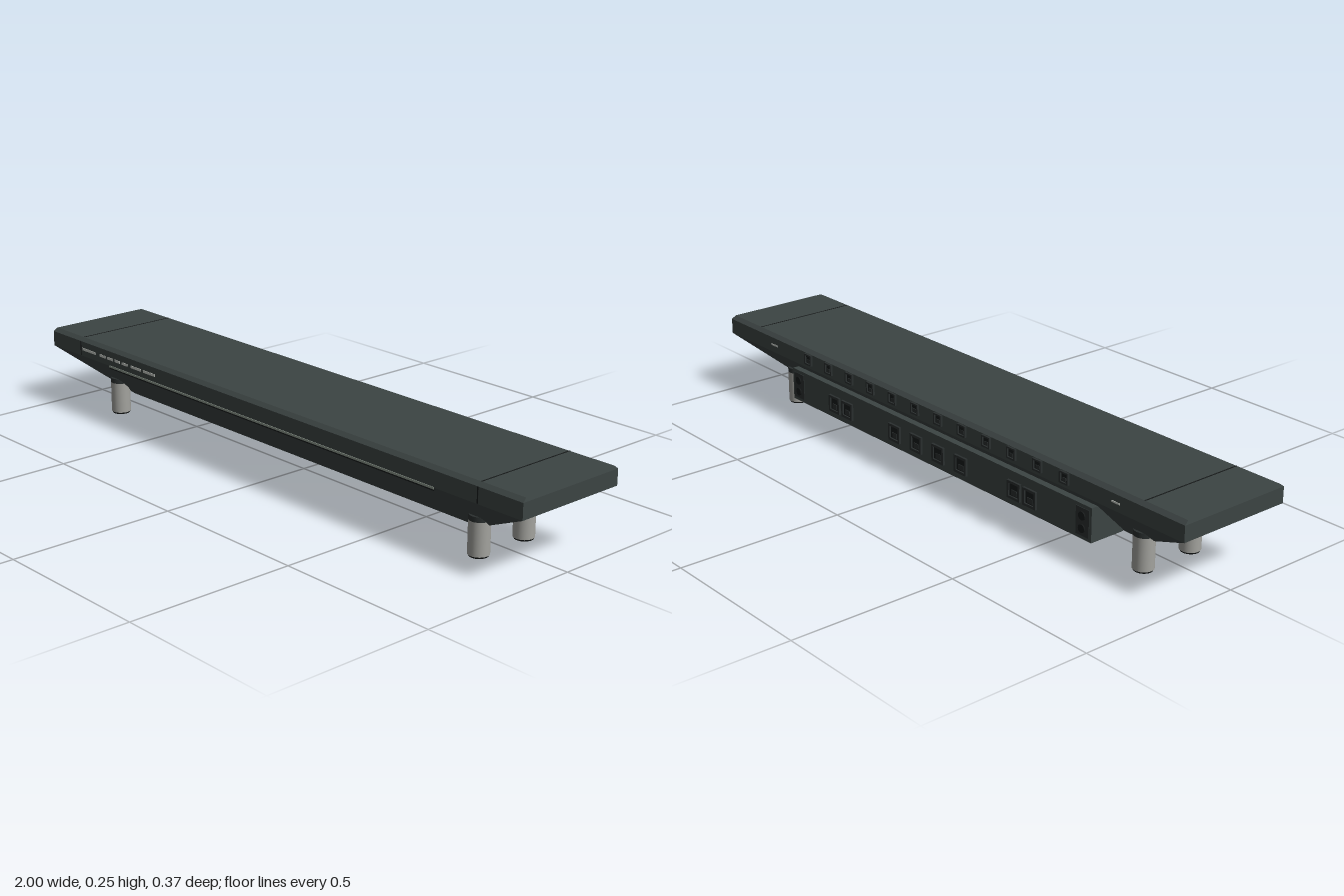
import * as THREE from 'three';

const mat = (name, color, side = THREE.FrontSide) => {
  const m = new THREE.MeshStandardMaterial({ color, side });
  m.name = name;
  return m;
};

// Box loft: stacked rectangular sections [y, halfX, halfZ], flat faced and capped
function rectLoft(sections) {
  const pos = [];
  const ring = ([y, x, z]) => [[-x, y, z], [x, y, z], [x, y, -z], [-x, y, -z]];
  const quad = (a, b, c, d) => pos.push(...a, ...b, ...c, ...a, ...c, ...d);
  const rings = sections.map(ring);
  for (let i = 0; i < rings.length - 1; i++) {
    for (let k = 0; k < 4; k++) {
      const n = (k + 1) % 4;
      quad(rings[i][k], rings[i][n], rings[i + 1][n], rings[i + 1][k]);
    }
  }
  const b = rings[0], t = rings[rings.length - 1];
  quad(t[0], t[1], t[2], t[3]);
  quad(b[3], b[2], b[1], b[0]);
  const g = new THREE.BufferGeometry();
  g.setAttribute('position', new THREE.Float32BufferAttribute(pos, 3));
  g.computeVertexNormals();
  return g;
}

export function createModel() {
  const shell = mat('shell slate', 0x3c4443);
  const black = mat('black', 0x171a1a);
  const socket = mat('socket dark grey', 0x2a2f2f);
  const metal = mat('leg metal', 0xa3a39e);
  const pale = mat('pale marking', 0xc4c8c2);
  const light = mat('light strip', 0x8c968c);

  const model = new THREE.Group();
  const add = (parent, name, geo, material, x = 0, y = 0, z = 0) => {
    const m = new THREE.Mesh(geo, material);
    m.name = name;
    m.position.set(x, y, z);
    parent.add(m);
    return m;
  };
  const box = (parent, name, material, w, h, d, x, y, z) =>
    add(parent, name, new THREE.BoxGeometry(w, h, d), material, x, y, z);
  const group = (name, x = 0, y = 0, z = 0) => {
    const g = new THREE.Group();
    g.name = name;
    g.position.set(x, y, z);
    model.add(g);
    return g;
  };

  // Main slab with chamfered top edge, and tapered hull below
  add(model, 'topSlab', rectLoft([[0.188, 1, 0.18], [0.235, 1, 0.18], [0.245, 0.997, 0.167]]), shell);
  add(model, 'taperedHull', rectLoft([[0.06, 0.745, 0.053], [0.188, 1, 0.18]]), shell);

  // Panel seams across the top, near both ends
  for (const s of [-1, 1]) {
    box(model, 'topSeam', black, 0.004, 0.001, 0.334, s * 0.85, 0.2452, 0);
    box(model, 'frontSeam', black, 0.004, 0.045, 0.001, s * 0.85, 0.212, 0.1802);
  }

  // Front indicator dashes [left, right]
  const dashes = [[-0.842, -0.773], [-0.75, -0.72], [-0.71, -0.68], [-0.67, -0.645],
    [-0.634, -0.607], [-0.59, -0.537], [-0.527, -0.468]];
  for (const [a, b] of dashes) {
    box(model, 'indicatorDash', pale, b - a, 0.008, 0.002, (a + b) / 2, 0.211, 0.1805);
  }

  // Light strip under the front lip
  box(model, 'lightStripHousing', black, 1.4, 0.009, 0.006, 0, 0.184, 0.178);
  box(model, 'lightStrip', light, 1.4, 0.006, 0.002, 0, 0.187, 0.1815);

  // Legs: metal posts with dark collars and feet
  for (const sx of [-1, 1]) {
    for (const sz of [-1, 1]) {
      const leg = group('leg', sx * 0.775, 0, sz * 0.087);
      add(leg, 'legFoot', new THREE.CylinderGeometry(0.029, 0.027, 0.005, 32), black, 0, 0.0025);
      add(leg, 'legPost', new THREE.CylinderGeometry(0.03, 0.03, 0.096, 32), metal, 0, 0.053);
      add(leg, 'legCollar', new THREE.CylinderGeometry(0.03, 0.03, 0.015, 32), socket, 0, 0.1085);
    }
  }

  // Rear connector housing
  box(model, 'rearHousing', shell, 1.34, 0.1, 0.115, 0, 0.112, -0.1175);

  // Square socket with rim, dark opening and contact tab, facing the back
  const addSocket = (name, x, y, z, size) => {
    const s = group(name, x, y, z);
    const r = size * 0.14;
    const half = size / 2 - r / 2;
    for (const k of [-1, 1]) {
      box(s, 'socketRim', socket, size, r, 0.007, 0, k * half, -0.0035);
      box(s, 'socketRim', socket, r, size, 0.007, k * half, 0, -0.0035);
    }
    box(s, 'socketOpening', black, size - r, size - r, 0.002, 0, 0, -0.001);
    box(s, 'socketTab', socket, size * 0.4, size * 0.3, 0.004, 0, -size * 0.15, -0.002);
  };

  // Sockets on the housing: two pairs and a middle row of four
  for (const x of [0.45, 0.386, 0.155, 0.055, -0.045, -0.145, -0.37, -0.434]) {
    addSocket('housingSocket', x, 0.108, -0.175, 0.052);
  }

  // End plates with round ports
  for (const s of [-1, 1]) {
    box(model, 'portPlate', socket, 0.05, 0.08, 0.003, s * 0.637, 0.112, -0.1755);
    for (const y of [0.094, 0.13]) {
      const port = add(model, 'roundPort', new THREE.CylinderGeometry(0.012, 0.012, 0.005, 20),
        black, s * 0.637, y, -0.1785);
      port.rotation.x = Math.PI / 2;
    }
  }

  // Row of twelve small sockets along the slab's back edge
  for (let i = 0; i < 12; i++) {
    addSocket('edgeSocket', 0.574 - i * 0.1042, 0.217, -0.18, 0.034);
  }

  // Small pale marks beside the socket row
  for (const s of [-1, 1]) {
    box(model, 'backMark', pale, 0.03, 0.005, 0.002, s * 0.76, 0.212, -0.1805);
  }

  return model;
}
